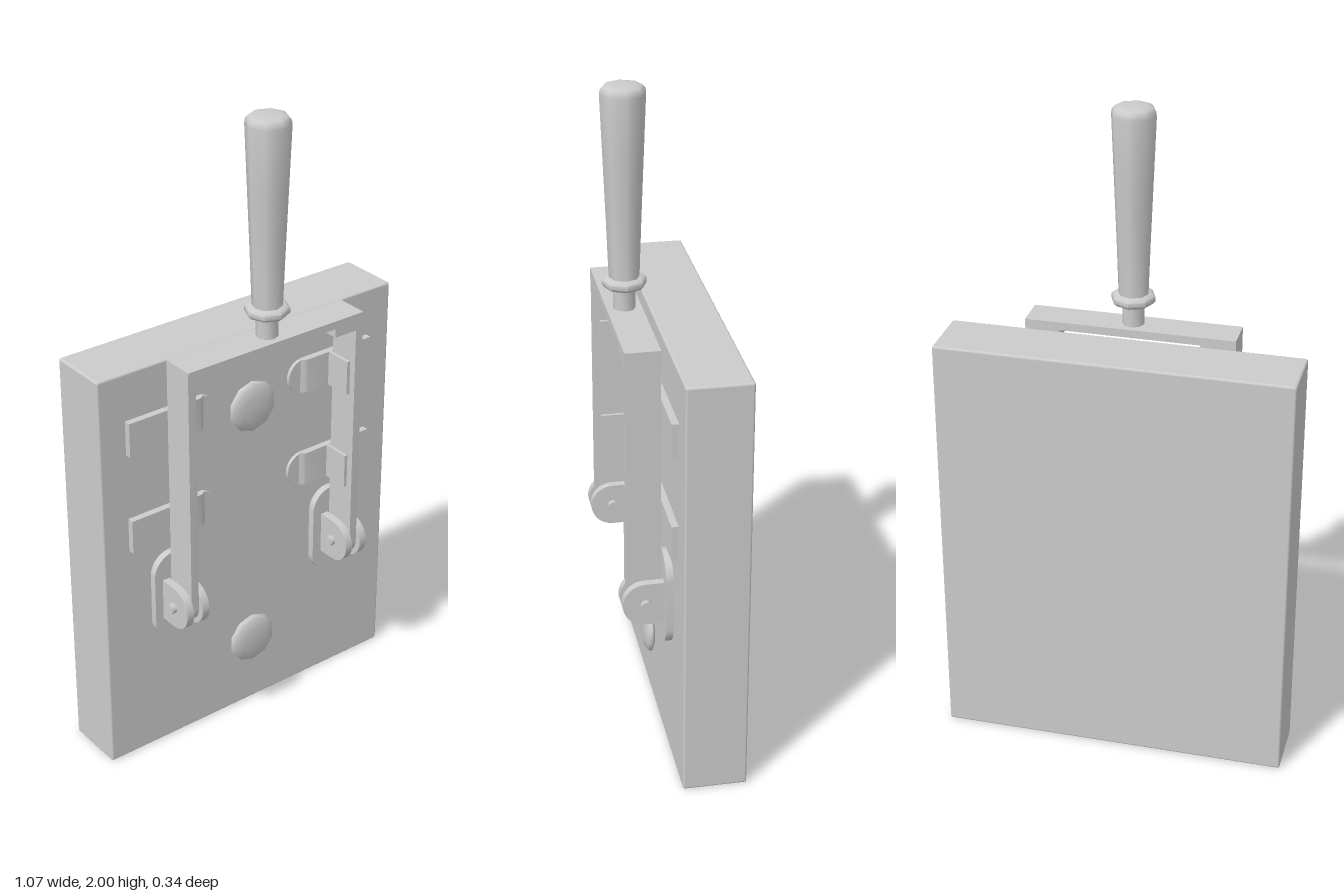
import * as THREE from 'three';
import { toCreasedNormals } from 'three/addons/utils/BufferGeometryUtils.js';
import { RoundedBoxGeometry } from 'three/addons/geometries/RoundedBoxGeometry.js';

const material = new THREE.MeshStandardMaterial({ color: 0xcccccc });

export function createModel() {
  const model = new THREE.Group();
  model.name = 'knifeSwitch';

  const add = (name, geometry, x = 0, y = 0, z = 0) => {
    const mesh = new THREE.Mesh(geometry, material);
    mesh.name = name;
    mesh.position.set(x, y, z);
    model.add(mesh);
    return mesh;
  };
  const extrude = (shape, depth) =>
    toCreasedNormals(new THREE.ExtrudeGeometry(shape, { depth, bevelEnabled: false, curveSegments: 10 }), 0.6);
  const polygon = (points) => new THREE.Shape(points.map(([a, b]) => new THREE.Vector2(a, b)));
  const lathe = (points, sides) =>
    toCreasedNormals(new THREE.LatheGeometry(points.map(([r, y]) => new THREE.Vector2(r, y)), sides), 0.95);

  // Upright plate drawn as (z, y) and given its thickness centred on x
  const sidePlate = (name, shape, x, thickness) => {
    const mesh = add(name, extrude(shape, thickness), x + thickness / 2);
    mesh.rotation.y = -Math.PI / 2;
  };

  const FACE = 0.023;   // front of the board
  const ARM = 0.305;    // blade distance from the centre
  const PIN_Y = 0.536, PIN_Z = 0.1;

  // Mounting board
  add('board', new RoundedBoxGeometry(1.07, 1.32, 0.193, 2, 0.007), 0, 0.66, FACE - 0.0965);

  // Domed mounting screws
  for (const y of [0.242, 1.075]) {
    const screw = add('screwHead', lathe([[0.072, 0], [0.082, 0.006], [0.082, 0.014], [0.074, 0.022], [0.045, 0.028], [0, 0.03]], 10), 0, y, FACE);
    screw.rotation.x = Math.PI / 2;
  }

  // Hinge ear: square at the board, round at the front
  const ear = new THREE.Shape();
  ear.moveTo(0.04, PIN_Y - 0.068);
  ear.lineTo(PIN_Z, PIN_Y - 0.068);
  ear.absarc(PIN_Z, PIN_Y, 0.068, -Math.PI / 2, Math.PI / 2, false);
  ear.lineTo(0.04, PIN_Y + 0.068);
  ear.closePath();

  // Blade with a rounded lower end
  const blade = new THREE.Shape();
  blade.moveTo(0.05, 1.335);
  blade.lineTo(0.05, PIN_Y);
  blade.absarc(0.101, PIN_Y, 0.051, Math.PI, Math.PI * 2, false);
  blade.lineTo(0.152, 1.335);
  blade.closePath();

  for (const s of [-1, 1]) {
    sidePlate('blade', blade, s * ARM, 0.026);

    // Stadium-shaped hinge base
    const base = new THREE.Shape();
    base.absarc(0, 0.08, 0.07, 0, Math.PI, false);
    base.absarc(0, -0.08, 0.07, Math.PI, Math.PI * 2, false);
    base.closePath();
    add('hingeBase', extrude(base, 0.022), s * 0.303, 0.54, FACE);

    for (const offset of [-0.028, 0.028]) sidePlate('hingeEar', ear, s * ARM + offset, 0.025);

    const pin = add('hingePin', new THREE.CylinderGeometry(0.016, 0.016, 0.112, 12), s * ARM, PIN_Y, PIN_Z);
    pin.rotation.z = Math.PI / 2;

    // Contact clips: foot plate, upright jaw and a thin rounded tab
    for (const y of [0.792, 1.115]) {
      const profile = polygon([
        [0.446, FACE], [0.446, 0.044], [0.292, 0.044], [0.292, 0.13], [0.281, 0.13], [0.281, 0.044],
        [0.2, 0.044], [0.192, 0.042], [0.186, 0.037], [0.18, 0.034], [0.18, FACE],
      ].map(([x, z]) => [s * x, -z]));
      const clip = add('contactClip', extrude(profile, 0.11), 0, y - 0.055, 0);
      clip.rotation.x = -Math.PI / 2;

      const tab = new THREE.Shape();
      tab.moveTo(s * 0.195, -0.055);
      for (let i = 0; i <= 12; i++) {
        const a = -Math.PI / 2 + (i / 12) * Math.PI;
        tab.lineTo(s * (0.192 - 0.055 * Math.cos(a)), 0.055 * Math.sin(a));
      }
      tab.lineTo(s * 0.195, 0.055);
      add('clipTab', extrude(tab, 0.011), 0, y, FACE);
    }
  }

  // Cross bar, thicker where it meets the blades
  const bar = polygon([
    [-0.317, 1.335], [-0.317, 1.282], [-0.212, 1.282], [-0.212, 1.31],
    [0.212, 1.31], [0.212, 1.282], [0.317, 1.282], [0.317, 1.335],
  ]);
  add('crossBar', extrude(bar, 0.104), 0, 0, 0.049);

  // Handle: shank, collar and tapered grip
  add('handleShank', lathe([[0, 1.3], [0.033, 1.3], [0.033, 1.41]], 8), 0, 0, PIN_Z);
  add('handleCollar', lathe([
    [0.03, 1.403], [0.058, 1.403], [0.066, 1.411], [0.066, 1.425], [0.058, 1.433], [0.03, 1.433],
  ], 8), 0, 0, PIN_Z);
  add('handleGrip', lathe([
    [0.045, 1.43], [0.051, 1.6], [0.059, 1.8], [0.066, 1.975], [0.064, 1.988], [0.056, 1.997], [0.04, 2], [0, 2],
  ], 8), 0, 0, PIN_Z);

  return model;
}
